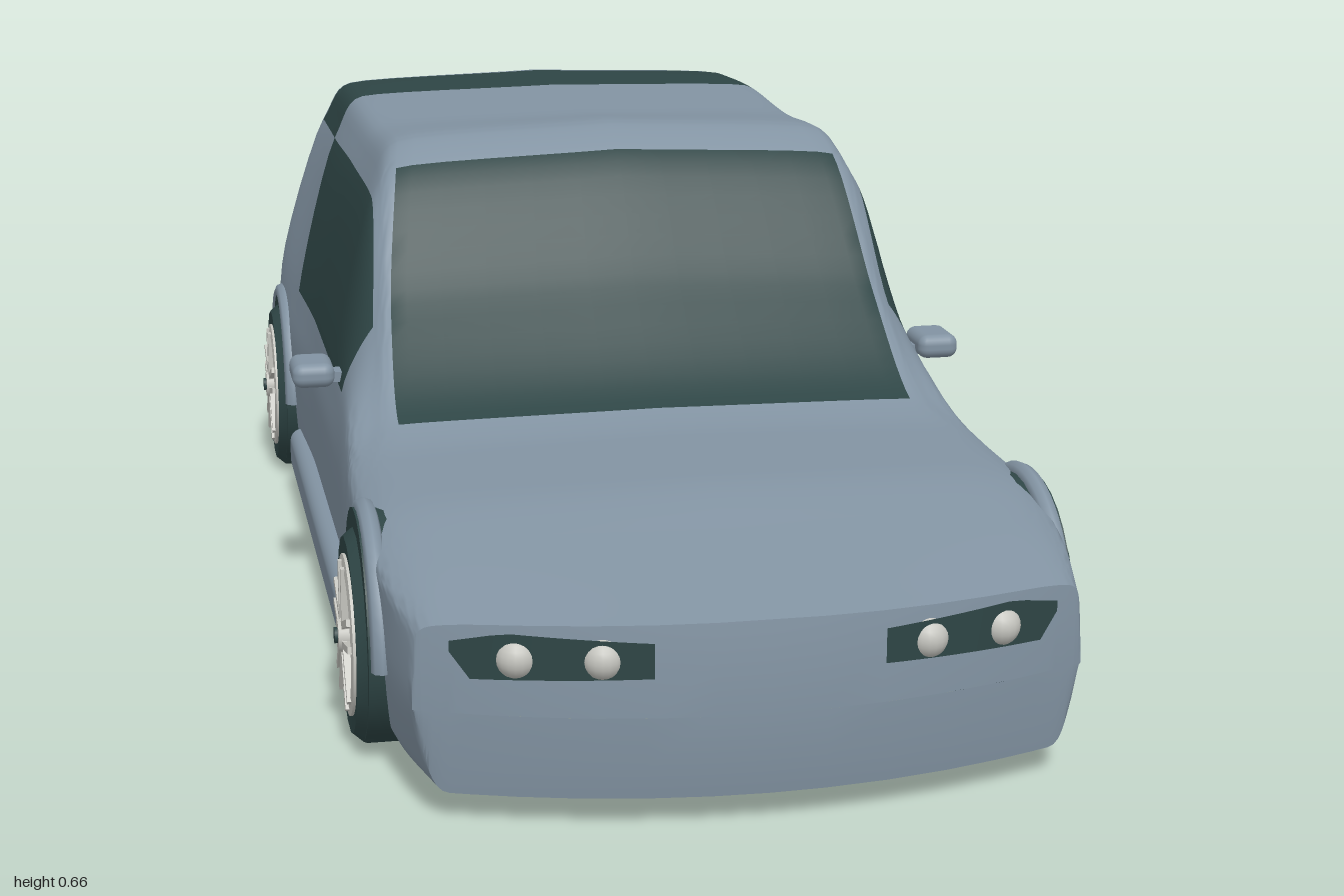
import * as THREE from 'three';
import { toCreasedNormals } from 'three/addons/utils/BufferGeometryUtils.js';
import { RoundedBoxGeometry } from 'three/addons/geometries/RoundedBoxGeometry.js';

const material = (name, color) => Object.assign(new THREE.MeshStandardMaterial({ color }), { name });
const paint = material('blueGreyPaint', 0x8293a2);
const dark = material('darkGlassAndRubber', 0x2e4545);
const metal = material('lightMetal', 0xc6c6c0);
const red = material('tailLightRed', 0xb43026);
const plateGrey = material('plateGrey', 0x9ea39f);

// Body stations, front to back: z, bottom half-width, widest half-width,
// then belt (x, y), window top (x, y), roof edge (x, y), centre top y
const STATIONS = [
  [0.98, 0.36, 0.40, 0.395, 0.225, 0.385, 0.238, 0.34, 0.245, 0.25],
  [0.8, 0.39, 0.42, 0.42, 0.25, 0.40, 0.268, 0.34, 0.28, 0.285],
  [0.63, 0.40, 0.432, 0.43, 0.27, 0.41, 0.29, 0.345, 0.305, 0.315],
  [0.45, 0.40, 0.43, 0.425, 0.28, 0.40, 0.30, 0.35, 0.31, 0.317],
  [0.36, 0.40, 0.425, 0.415, 0.30, 0.385, 0.315, 0.35, 0.325, 0.33],
  [0.2, 0.40, 0.42, 0.41, 0.33, 0.365, 0.42, 0.34, 0.445, 0.46],
  [0.07, 0.40, 0.42, 0.41, 0.33, 0.35, 0.575, 0.315, 0.615, 0.632],
  [0, 0.40, 0.42, 0.41, 0.33, 0.35, 0.578, 0.305, 0.645, 0.662],
  [-0.2, 0.40, 0.42, 0.41, 0.33, 0.35, 0.575, 0.305, 0.635, 0.645],
  [-0.44, 0.40, 0.43, 0.418, 0.33, 0.355, 0.575, 0.31, 0.64, 0.65],
  [-0.64, 0.41, 0.438, 0.43, 0.33, 0.355, 0.573, 0.31, 0.632, 0.645],
  [-0.73, 0.40, 0.43, 0.41, 0.325, 0.34, 0.55, 0.28, 0.605, 0.625],
  [-0.85, 0.36, 0.385, 0.365, 0.30, 0.315, 0.42, 0.25, 0.46, 0.48],
  [-0.96, 0.29, 0.31, 0.30, 0.20, 0.28, 0.225, 0.25, 0.24, 0.25],
];

// Smooth interpolation through values v at increasing positions p, without overshoot
function smooth(p, v, at) {
  let k = 0;
  while (k < p.length - 2 && at > p[k + 1]) k++;
  const slope = (i) => (v[i + 1] - v[i]) / (p[i + 1] - p[i]);
  const tangent = (i) => {
    if (i === 0) return slope(0);
    if (i === p.length - 1) return slope(i - 1);
    const a = slope(i - 1), b = slope(i);
    return a * b <= 0 ? 0 : (2 * a * b) / (a + b);
  };
  const h = p[k + 1] - p[k], s = (at - p[k]) / h;
  return v[k] * (1 + 2 * s) * (1 - s) ** 2 + tangent(k) * h * s * (1 - s) ** 2
    + v[k + 1] * s * s * (3 - 2 * s) + tangent(k + 1) * h * s * s * (s - 1);
}

// The nose curves back towards its corners, the tail a little too
function bowed(z, x) {
  const front = Math.max(0, (z - 0.55) / 0.43) ** 2 * 0.085 * (x / 0.4) ** 2;
  const rear = Math.max(0, (-0.8 - z) / 0.16) ** 2 * 0.02 * (x / 0.3) ** 2;
  return z - front + rear;
}

// Lofted shell; glass areas are whole cells of the same grid
function bodyGeometry() {
  const along = 8, around = 6, half = 7 * around, cols = 2 * half + 1;
  const depth = STATIONS.map((s) => -s[0]), steps = [0, 1, 2, 3, 4, 5, 6, 7];
  const rows = [];
  for (let i = 0; i <= (STATIONS.length - 1) * along; i++) {
    const k = Math.min(Math.floor(i / along), STATIONS.length - 2);
    const z = THREE.MathUtils.lerp(STATIONS[k][0], STATIONS[k + 1][0], i / along - k);
    const [wb, wm, w4, y4, w5, y5, w6, y6, y7] =
      [1, 2, 3, 4, 5, 6, 7, 8, 9].map((c) => smooth(depth, STATIONS.map((s) => s[c]), -z));
    const xs = [0, wb, wb + 0.7 * (wm - wb), wm, w4, w5, w6, 0];
    const ys = [0.04, 0.04, 0.085, 0.04 + 0.65 * (y4 - 0.04), y4, y5, y6, y7];
    const row = [];
    for (let j = 0; j < cols; j++) {
      const t = (j <= half ? j : 2 * half - j) / around;
      row.push([(j <= half ? 1 : -1) * smooth(steps, xs, t), smooth(steps, ys, t), z]);
    }
    rows.push(row);
  }
  // Close the nose and tail by drawing the end rings to a level line
  const cap = (row, f, dz) => row.map(([x, y, z]) => [x, y + (0.14 - y) * f, z + dz]);
  const first = rows[0], last = rows[rows.length - 1];
  rows.unshift(cap(first, 1, 0.008), cap(first, 0.4, 0.006));
  rows.push(cap(last, 0.4, -0.004), cap(last, 1, -0.006));

  const points = rows.flatMap((r) => r.flatMap(([x, y, z]) => [x, y, bowed(z, x)]));
  const isGlass = (z, t) =>
    (t > 6 && z < 0.36 && z > 0.07) ||              // windscreen
    (t > 4 && t < 5 && z < 0.2 && z > -0.44) ||     // side windows
    (t > 5 && z < -0.44 && z > -0.64);              // rear roof panel
  const faces = [[], []];
  for (let i = 0; i < rows.length - 1; i++) {
    for (let j = 0; j < cols - 1; j++) {
      const t = (j < half ? j + 0.5 : 2 * half - j - 0.5) / around;
      const a = i * cols + j, c = a + cols;
      const z = (rows[i][0][2] + rows[i + 1][0][2]) / 2;
      faces[isGlass(z, t) ? 1 : 0].push(a, c, a + 1, a + 1, c, c + 1);
    }
  }
  const geo = new THREE.BufferGeometry();
  geo.setAttribute('position', new THREE.Float32BufferAttribute(points, 3));
  geo.setIndex([...faces[0], ...faces[1]]);
  geo.addGroup(0, faces[0].length, 0);
  geo.addGroup(faces[0].length, faces[1].length, 1);
  return toCreasedNormals(geo, 0.7);
}

function add(parent, name, geo, mat, x = 0, y = 0, z = 0) {
  const mesh = new THREE.Mesh(geo, mat);
  mesh.name = name;
  mesh.position.set(x, y, z);
  parent.add(mesh);
  return mesh;
}

// Wheel with its axle along x, outer face towards +x
function wheel() {
  const g = new THREE.Group();
  g.name = 'wheel';
  const ring = (pts, n) => toCreasedNormals(
    new THREE.LatheGeometry(pts.map(([r, x]) => new THREE.Vector2(r, x)), n).rotateZ(-Math.PI / 2), 0.6);
  add(g, 'tyre', ring([[0.095, -0.048], [0.122, -0.048], [0.135, -0.035], [0.135, 0.033],
    [0.122, 0.048], [0.095, 0.046], [0.095, -0.048]], 18), dark);
  add(g, 'rim', ring([[0.086, -0.04], [0.097, -0.04], [0.1, 0.05], [0.088, 0.052], [0.086, -0.04]], 30), metal);
  add(g, 'brakeDisc', new THREE.CylinderGeometry(0.087, 0.087, 0.02, 24).rotateZ(Math.PI / 2), plateGrey, 0.005);
  add(g, 'hub', new THREE.CylinderGeometry(0.02, 0.024, 0.03, 12).rotateZ(-Math.PI / 2), metal, 0.045);
  add(g, 'hubCap', new THREE.CylinderGeometry(0.01, 0.01, 0.006, 10).rotateZ(-Math.PI / 2), dark, 0.061);
  for (let i = 0; i < 5; i++) {
    for (const side of [-1, 1]) {
      const spoke = new THREE.BoxGeometry(0.016, 0.08, 0.009).translate(0, 0.052, side * 0.011);
      add(g, 'spoke', spoke, metal, 0.048).rotation.x = (i * Math.PI * 2) / 5 + side * 0.06;
    }
  }
  return g;
}

export function createModel() {
  const car = new THREE.Group();
  car.name = 'car';
  add(car, 'bodyShell', bodyGeometry(), [paint, dark]);

  for (const s of [-1, 1]) {
    // Wheels, dark wells and painted arch lips
    for (const [z, out] of [[0.63, 0], [-0.6, 0.005]]) {
      const w = wheel();
      w.position.set(s * (0.4 + out), 0.137, z);
      if (s < 0) w.rotation.y = Math.PI;
      car.add(w);
      add(car, 'wheelWell', new THREE.CylinderGeometry(0.144, 0.144, 0.1, 32).rotateZ(Math.PI / 2),
        dark, s * (0.386 + out), 0.15, z);
      add(car, 'archLip', new THREE.TorusGeometry(0.15, 0.013, 8, 28, Math.PI).rotateY(Math.PI / 2),
        paint, s * (0.421 + 2 * out), 0.142, z);
    }
    add(car, 'sill', new RoundedBoxGeometry(0.05, 0.07, 0.9, 3, 0.02), paint, s * 0.415, 0.072, 0.01);

    // Door mirrors
    add(car, 'mirror', new RoundedBoxGeometry(0.058, 0.034, 0.08, 3, 0.014), paint, s * 0.446, 0.35, 0.15);
    add(car, 'mirrorArm', new THREE.BoxGeometry(0.04, 0.014, 0.03), paint, s * 0.412, 0.343, 0.15);

    // Headlight panel, bent round the nose, with two lamps
    const panel = new THREE.PlaneGeometry(0.225, 1, 10, 1);
    const p = panel.attributes.position;
    for (let i = 0; i < p.count; i++) {
      const x = p.getX(i) + s * 0.2475, a = Math.abs(x);
      const top = a < 0.3 ? 0.23 + (a - 0.135) * 0.06 : 0.24 - (a - 0.3) * 0.2;
      const low = 0.188 - (a - 0.135) * 0.02 + Math.max(0, a - 0.34) * 1.6;
      p.setXYZ(i, x, p.getY(i) > 0 ? top : low, bowed(0.98, x) + 0.01);
    }
    panel.computeVertexNormals();
    add(car, 'headlightPanel', panel, dark);
    for (const x of [0.19, 0.285]) {
      add(car, 'headlamp', new THREE.SphereGeometry(0.025, 18, 12), metal, s * x, 0.208, bowed(0.975, x));
    }

    // Rear bumper corner, tail lights, exhaust and small filler button
    add(car, 'bumperCorner', new THREE.SphereGeometry(1, 24, 16).scale(0.06, 0.07, 0.1),
      paint, s * 0.335, 0.125, -0.845);
    [0.14, 0.19, 0.24].forEach((x, i) => add(car, 'tailLight',
      new THREE.SphereGeometry(1, 16, 12).scale(0.028, 0.023, 0.02), red, s * x, 0.25 + i * 0.006, -0.95 + i * 0.003));
    add(car, 'exhaust', toCreasedNormals(new THREE.LatheGeometry([[0.02, -0.05], [0.029, -0.05], [0.029, 0.05],
      [0.02, 0.05], [0.02, -0.05]].map(([r, y]) => new THREE.Vector2(r, y)), 18).rotateX(-Math.PI / 2), 0.6),
      metal, s * 0.26, 0.085, -0.95);
    add(car, 'sideButton', new THREE.SphereGeometry(0.008, 10, 8), dark, s * 0.355, 0.37, -0.82);
    for (const x of [0.08, 0.215]) {
      add(car, 'diffuserFin', new THREE.BoxGeometry(0.008, 0.04, 0.05), dark, s * x, 0.055, -0.972);
    }
  }

  // Rear centre details
  add(car, 'diffuserBar', new THREE.BoxGeometry(0.46, 0.02, 0.03), dark, 0, 0.05, -0.962);
  add(car, 'rearPlate', new THREE.BoxGeometry(0.14, 0.055, 0.009), plateGrey, 0, 0.165, -0.968);
  add(car, 'bootLock', new THREE.SphereGeometry(0.009, 10, 8), metal, 0, 0.27, -0.952);
  return car;
}
